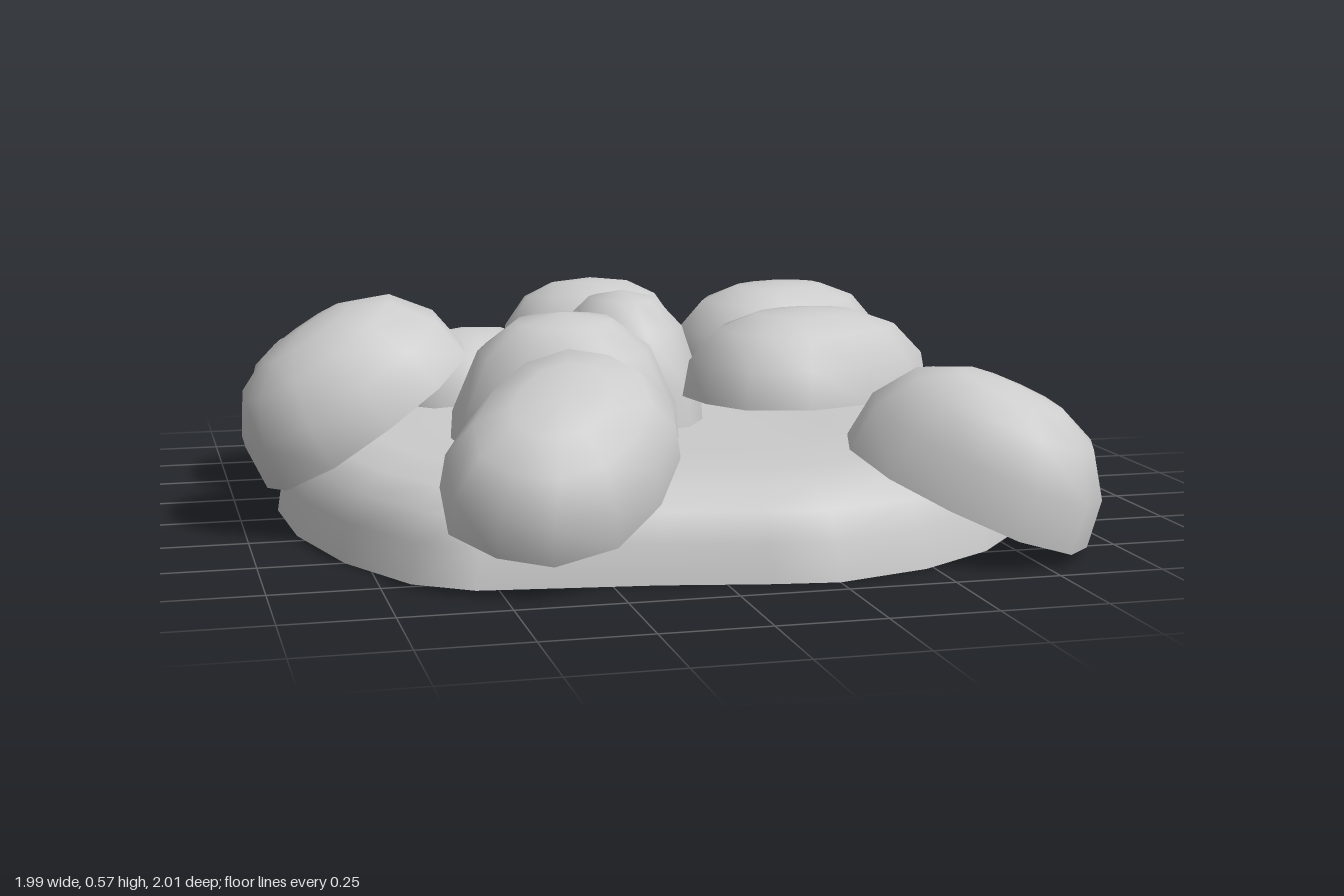
import * as THREE from 'three';
import { mergeVertices } from 'three/addons/utils/BufferGeometryUtils.js';

const material = new THREE.MeshStandardMaterial({ color: 0xcccccc, side: THREE.DoubleSide });

// Welds the seams and gives smooth normals
function smooth(geometry) {
  geometry.deleteAttribute('uv');
  geometry.deleteAttribute('normal');
  const welded = mergeVertices(geometry, 1e-4);
  welded.computeVertexNormals();
  return welded;
}

// Open-bottomed low-poly dome, its rim in the plane y = 0
function stoneGeometry(a, h, b, seed) {
  const profile = [[1, 0], [0.95, 0.42], [0.73, 0.78], [0.42, 0.95], [0, 1]]
    .map(([r, y]) => new THREE.Vector2(r, y));
  const geometry = new THREE.LatheGeometry(profile, 12);
  const p = geometry.attributes.position;
  for (let i = 0; i < p.count; i++) {
    const x = p.getX(i), y = p.getY(i), z = p.getZ(i);
    const r = Math.hypot(x, z), angle = Math.atan2(z, x);
    // squarish plan with a gentle unevenness, both vanishing at the crown
    const k = 1 + r * (0.06 * Math.abs(Math.sin(2 * angle)) + 0.02 * Math.sin(3 * angle + seed * 1.7));
    p.setXYZ(i, x * a * k, y * h, z * b * k);
  }
  return smooth(geometry);
}

// Base mound: rings that shrink from the outline to a slightly dished centre
function moundGeometry() {
  const corners = [
    [-0.65, -0.75], [-0.5, -0.83], [-0.27, -0.9], [0.05, -0.94], [0.25, -0.92], [0.4, -0.83],
    [0.57, -0.74], [0.78, -0.68], [0.96, -0.55], [1, -0.45], [0.91, -0.15], [0.93, 0.1],
    [0.94, 0.37], [0.87, 0.52], [0.68, 0.74], [0.48, 0.87], [0.25, 0.94], [0.1, 0.92],
    [-0.15, 0.87], [-0.55, 0.82], [-0.68, 0.73], [-0.8, 0.5], [-0.88, 0.2], [-0.9, -0.1], [-0.8, -0.5],
  ];
  const rings = [[1, 0], [0.985, 0.09], [0.95, 0.155], [0.88, 0.2], [0.76, 0.22], [0.5, 0.215], [0.25, 0.21]];
  const n = corners.length, points = [], index = [];
  rings.forEach(([s, y], j) => {
    for (const [x, z] of corners) {
      // the back slopes more gently, the left edge rises
      const inset = z < -0.6 && j > 0 ? 0.03 : 0;
      const lift = 1 + 0.8 * Math.max(0, x - 0.55) * (0.6 - 0.4 * z);
      points.push(x * s, y * (j < 5 ? lift : 1), z * (s - inset));
    }
    if (j === 0) return;
    for (let i = 0; i < n; i++) {
      const a = (j - 1) * n + i, b = (j - 1) * n + (i + 1) % n;
      index.push(a, a + n, b, b, a + n, b + n);
    }
  });
  const last = (rings.length - 1) * n;
  points.push(0, 0.21, 0);
  for (let i = 0; i < n; i++) index.push(last + i, last + n, last + (i + 1) % n);
  const geometry = new THREE.BufferGeometry();
  geometry.setAttribute('position', new THREE.Float32BufferAttribute(points, 3));
  geometry.setIndex(index);
  geometry.computeVertexNormals();
  return geometry;
}

// Rim centre, radii (along, up, across), yaw, and lean towards x and z
const stones = [
  { at: [-0.72, 0.2, -0.45], size: [0.215, 0.22, 0.3], yaw: 0.05, lean: [-0.3, -0.3] },
  { at: [-0.7, 0.27, 0.1], size: [0.3, 0.27, 0.24], yaw: 0.15, lean: [-0.65, 0.05] },
  { at: [-0.34, 0.18, -0.48], size: [0.26, 0.22, 0.24], yaw: 0.1, lean: [-0.05, -0.2] },
  { at: [0.02, 0.3, -0.54], size: [0.25, 0.22, 0.29], yaw: -0.3, lean: [0, -0.1] },
  { at: [0.52, 0.13, -0.72], size: [0.31, 0.25, 0.23], yaw: 0.9, lean: [0.22, -0.4] },
  { at: [0.48, 0.32, -0.27], size: [0.31, 0.21, 0.23], yaw: 0.5, lean: [0, 0] },
  { at: [0, 0.14, -0.09], size: [0.2, 0.4, 0.245], yaw: 0.1, lean: [0, 0] },
  { at: [-0.21, 0.12, 0.19], size: [0.29, 0.41, 0.235], yaw: -0.15, lean: [-0.03, 0.08] },
  { at: [0.375, 0.32, 0.29], size: [0.32, 0.21, 0.24], yaw: 0.4, lean: [0, 0] },
  { at: [-0.33, 0.23, 0.7], size: [0.32, 0.22, 0.24], yaw: 0.9, lean: [-0.1, 0.55] },
  { at: [0.65, 0.135, 0.69], size: [0.31, 0.28, 0.23], yaw: -0.55, lean: [0.35, 0.22] },
];

export function createModel() {
  const model = new THREE.Group();
  model.name = 'stonePile';

  const mound = new THREE.Mesh(moundGeometry(), material);
  mound.name = 'mound';
  model.add(mound);

  const up = new THREE.Vector3(0, 1, 0);
  stones.forEach(({ at, size, yaw, lean }, i) => {
    const stone = new THREE.Mesh(stoneGeometry(...size, i), material);
    stone.name = `stone${i + 1}`;
    stone.position.set(...at);
    const axis = new THREE.Vector3(lean[0], 1, lean[1]).normalize();
    stone.quaternion.setFromUnitVectors(up, axis)
      .multiply(new THREE.Quaternion().setFromAxisAngle(up, yaw));
    model.add(stone);
  });
  return model;
}
